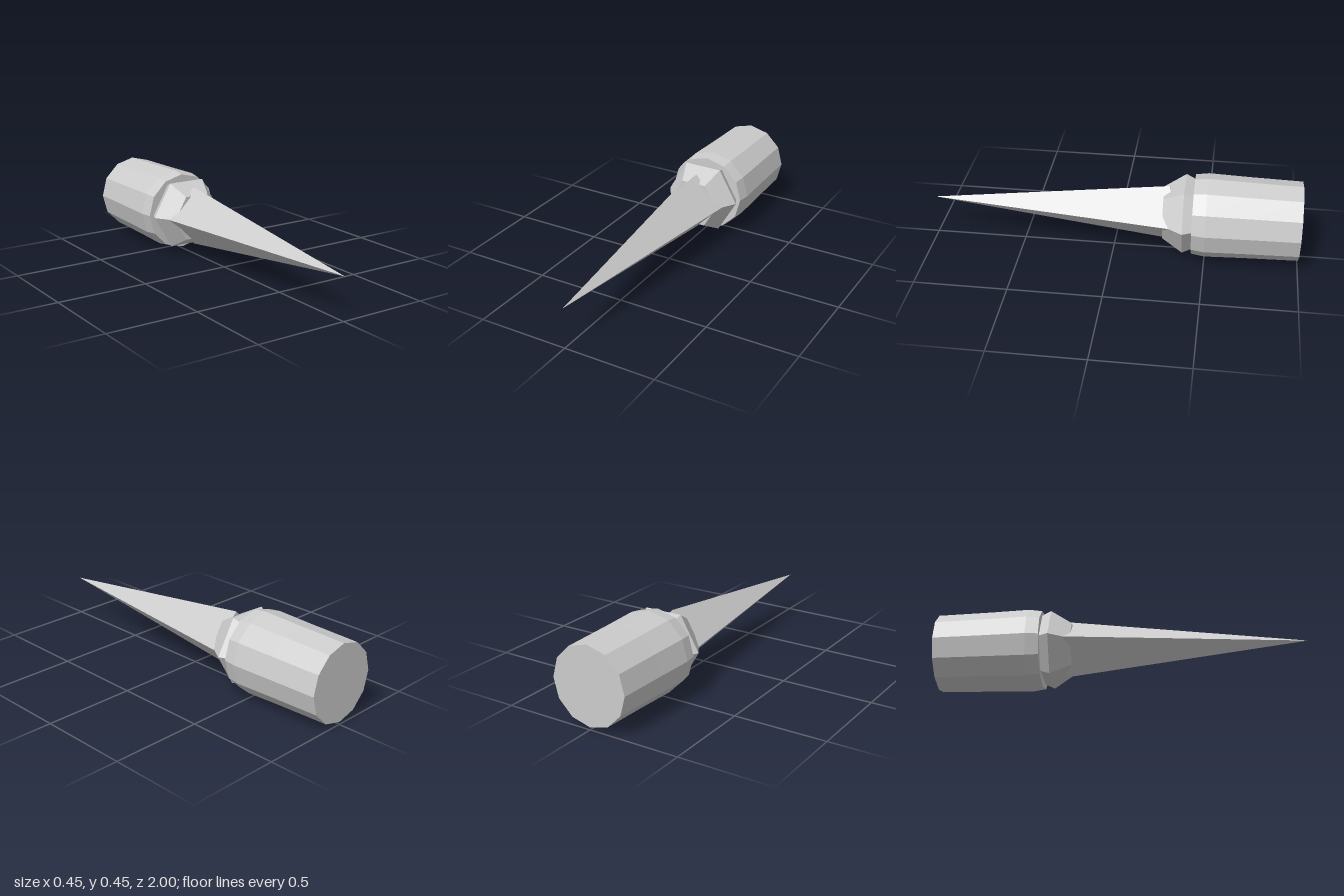
import * as THREE from 'three';

const AXIS_HEIGHT = 0.225;

// Faceted solid turned around the z axis; profile is [radius, z] from back to front.
function turned(name, profile, sides, start, material) {
  const points = profile.map(([r, z]) => new THREE.Vector2(r, z));
  const geometry = new THREE.LatheGeometry(points, sides, start).rotateX(Math.PI / 2).toNonIndexed();
  geometry.computeVertexNormals();
  const mesh = new THREE.Mesh(geometry, material);
  mesh.name = name;
  mesh.position.y = AXIS_HEIGHT;
  return mesh;
}

export function createModel() {
  const group = new THREE.Group();
  group.name = 'spikeTool';

  const grey = new THREE.MeshStandardMaterial({ color: 0xcccccc, flatShading: true });
  grey.name = 'light grey';

  // Twelve-sided handle, slightly swollen near the front
  group.add(turned('handle', [
    [0, -1], [0.212, -1], [0.218, -0.72], [0.225, -0.5], [0.215, -0.43], [0, -0.43],
  ], 12, 0, grey));

  // Hexagonal collar with corners to the left and right
  group.add(turned('collar', [
    [0, -0.44], [0.185, -0.44], [0.213, -0.38], [0.143, -0.27], [0, -0.27],
  ], 6, Math.PI / 2, grey));

  // Four-sided spike with edges at the top, bottom and sides
  group.add(turned('spike', [
    [0, -0.302], [0.166, -0.302], [0, 1],
  ], 4, 0, grey));

  return group;
}
